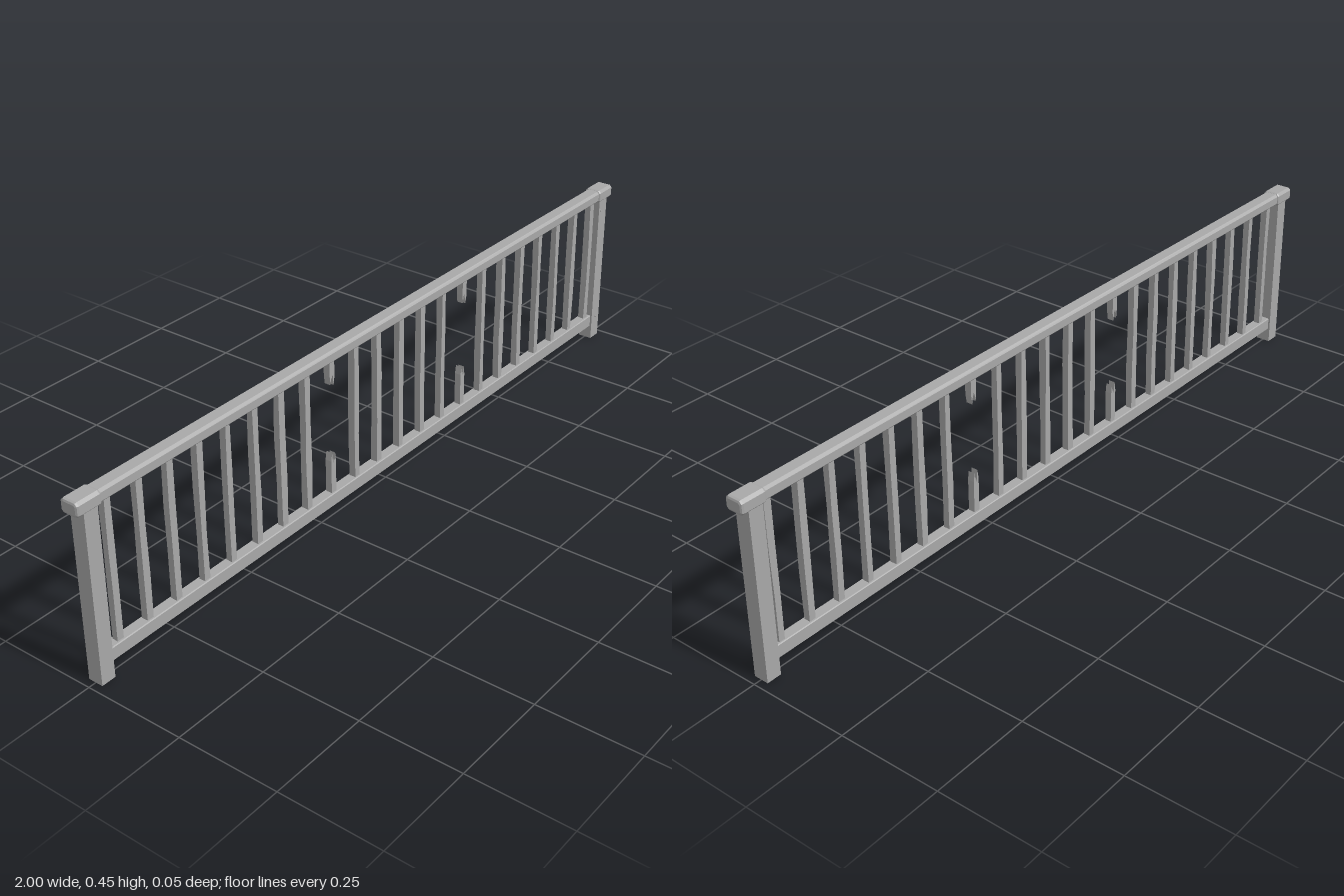
import * as THREE from 'three';

export function createModel() {
  const model = new THREE.Group();
  model.name = 'railing';
  const grey = new THREE.MeshStandardMaterial({ color: 0xa8a8a8, flatShading: true });
  grey.name = 'weathered grey';

  const add = (name, geometry, x, y, z = 0) => {
    const mesh = new THREE.Mesh(geometry, grey);
    mesh.name = name;
    mesh.position.set(x, y, z);
    model.add(mesh);
    return mesh;
  };
  let seed = 7;
  const jitter = (amount) => {
    seed = (seed * 16807) % 2147483647;
    return (seed / 2147483647 - 0.5) * 2 * amount;
  };

  // Beam along x with chamfered long edges, optionally bevelled ends
  function beam(length, height, depth, chamfer, bevel = 0) {
    const w = depth / 2 - bevel, h = height / 2 - bevel, c = chamfer;
    const shape = new THREE.Shape([
      [-w, -h + c], [-w + c, -h], [w - c, -h], [w, -h + c],
      [w, h - c], [w - c, h], [-w + c, h], [-w, h - c],
    ].map(([x, y]) => new THREE.Vector2(x, y)));
    const geometry = new THREE.ExtrudeGeometry(shape, {
      depth: length - 2 * bevel, bevelEnabled: bevel > 0,
      bevelSize: bevel, bevelThickness: bevel, bevelSegments: 2,
    });
    geometry.translate(0, 0, bevel - length / 2);
    return geometry.rotateY(Math.PI / 2);
  }

  // Horizontal rails
  add('topRail', beam(1.92, 0.031, 0.04, 0.006), 0, 0.4335);
  add('bottomRail', beam(1.9, 0.034, 0.028, 0.002), 0, 0.053);

  // End posts and their bevelled caps
  for (const side of [-1, 1]) {
    add('post', new THREE.BoxGeometry(0.037, 0.42, 0.038), side * 0.962, 0.21);
    add('postCap', beam(0.066, 0.035, 0.047, 0.003, 0.006), side * 0.967, 0.4335);
  }

  // Nail heads on the front of one post
  for (const [x, y] of [[0.95, 0.39], [0.962, 0.063]]) {
    add('nail', new THREE.CylinderGeometry(0.0027, 0.0027, 0.005, 8).rotateX(Math.PI / 2), x, y, 0.0205);
  }

  // Slightly uneven whole baluster
  function baluster() {
    const geometry = new THREE.BoxGeometry(0.017, 0.36, 0.017, 1, 3, 1);
    const p = geometry.attributes.position;
    const moves = {};
    for (let i = 0; i < p.count; i++) {
      const key = [p.getX(i), p.getY(i), p.getZ(i)].map((v) => v.toFixed(3)).join();
      moves[key] ??= [jitter(0.0012), jitter(0.0012)];
      p.setX(i, p.getX(i) + moves[key][0]);
      p.setZ(i, p.getZ(i) + moves[key][1]);
    }
    geometry.computeVertexNormals();
    return geometry;
  }

  // Snapped baluster end with splintered tip, pointing up from its base
  function stub(height) {
    const w = 0.0085;
    const shape = new THREE.Shape([
      [-w, 0], [w, 0], [w, height - 0.026], [0.006, height - 0.004], [0.004, height - 0.024],
      [0.001, height - 0.018], [-0.002, height - 0.03], [-0.005, height], [-w, height - 0.022],
    ].map(([x, y]) => new THREE.Vector2(x, y)));
    return new THREE.ExtrudeGeometry(shape, { depth: 0.017, bevelEnabled: false }).translate(0, 0, -0.0085);
  }

  // Row of balusters, two of them broken
  for (let i = 0; i < 22; i++) {
    const x = -0.91 + i * 0.0873;
    if (i === 8 || i === 14) {
      add('brokenBalusterBottom', stub(0.113), x, 0.065);
      add('brokenBalusterTop', stub(0.07), x, 0.423).rotation.z = Math.PI;
    } else {
      add('baluster', baluster(), x, 0.243);
    }
  }
  return model;
}
